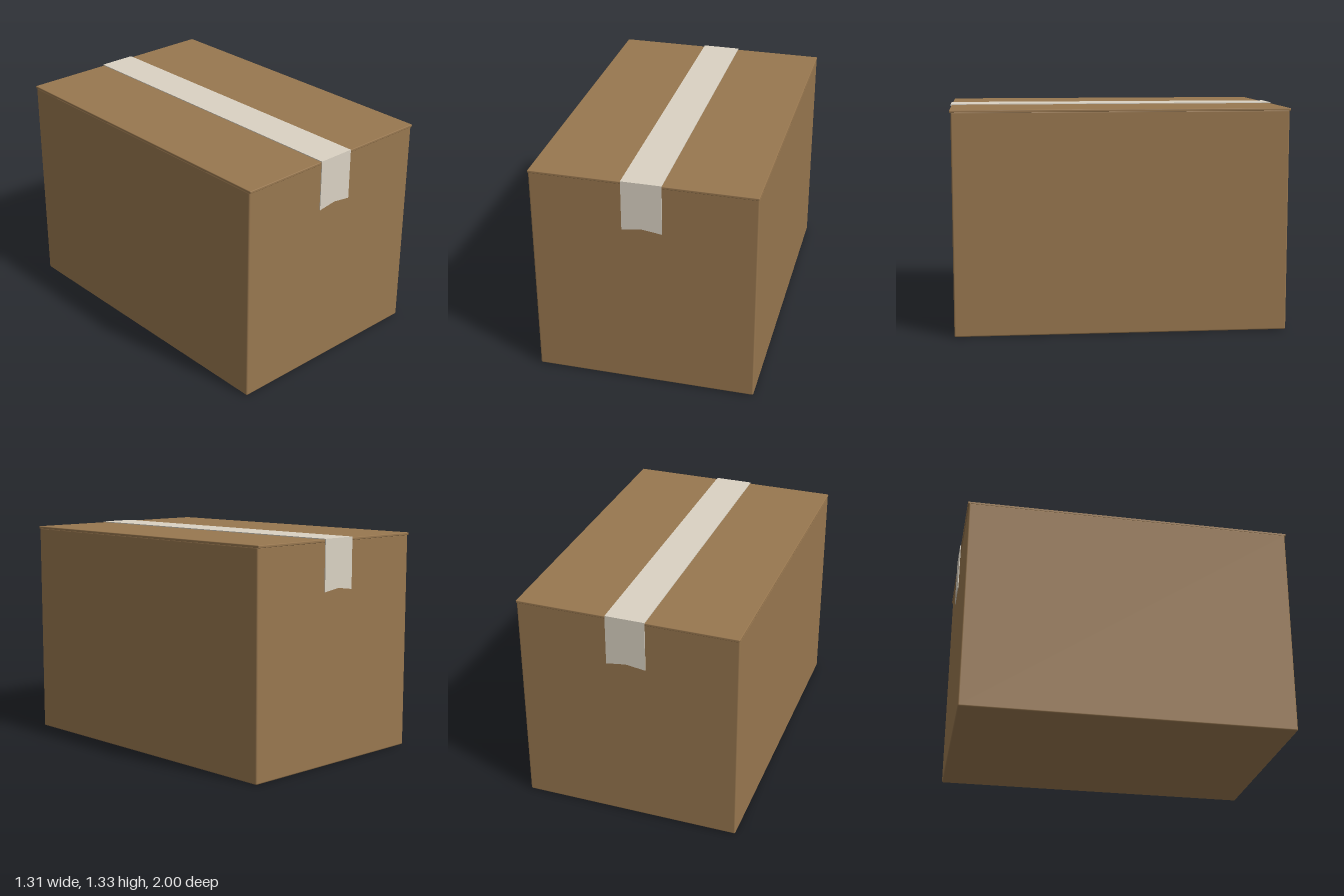
import * as THREE from 'three';
import { RoundedBoxGeometry } from 'three/addons/geometries/RoundedBoxGeometry.js';

export function createModel() {
  const model = new THREE.Group();
  model.name = 'cardboardBox';
  const cardboard = new THREE.MeshStandardMaterial({ color: 0x98774f });
  cardboard.name = 'cardboard brown';
  const tape = new THREE.MeshStandardMaterial({ color: 0xdad2c3 });
  tape.name = 'packing tape';

  const add = (name, geometry, material, x, y, z, parent = model) => {
    const mesh = new THREE.Mesh(geometry, material);
    mesh.name = name;
    mesh.position.set(x, y, z);
    parent.add(mesh);
    return mesh;
  };

  // Carton walls and floor, with slightly softened folds
  const halfW = 0.657, top = 1.328;
  add('cartonBody', new RoundedBoxGeometry(halfW * 2, 1.318, 1.976, 2, 0.009), cardboard, 0, 0.659, 0);

  // Two closed flaps meeting under the tape, overhanging the end walls
  for (const side of [1, -1]) {
    add(side > 0 ? 'leftFlap' : 'rightFlap',
      new RoundedBoxGeometry(halfW - 0.001, 0.016, 1.99, 2, 0.004), cardboard,
      side * (halfW + 0.001) / 2, top - 0.008, 0);
  }

  // Tape along the seam
  const tapeHalf = 0.117, tapeTop = 1.333, thick = 0.005;
  add('topTape', new THREE.BoxGeometry(tapeHalf * 2, thick, 2), tape, 0, tapeTop - thick / 2, 0);

  // Tape ends folded down, each with a notched cut
  const end = new THREE.Shape([
    [-tapeHalf, tapeTop], [-tapeHalf, 1.028], [0, 1.044], [tapeHalf, 1.028], [tapeHalf, tapeTop],
  ].map(([x, y]) => new THREE.Vector2(x, y)));
  const endGeometry = new THREE.ExtrudeGeometry(end, { depth: thick, bevelEnabled: false });
  add('frontTapeEnd', endGeometry, tape, 0, 0, 1 - thick);
  add('backTapeEnd', endGeometry, tape, 0, 0, -1);

  return model;
}
